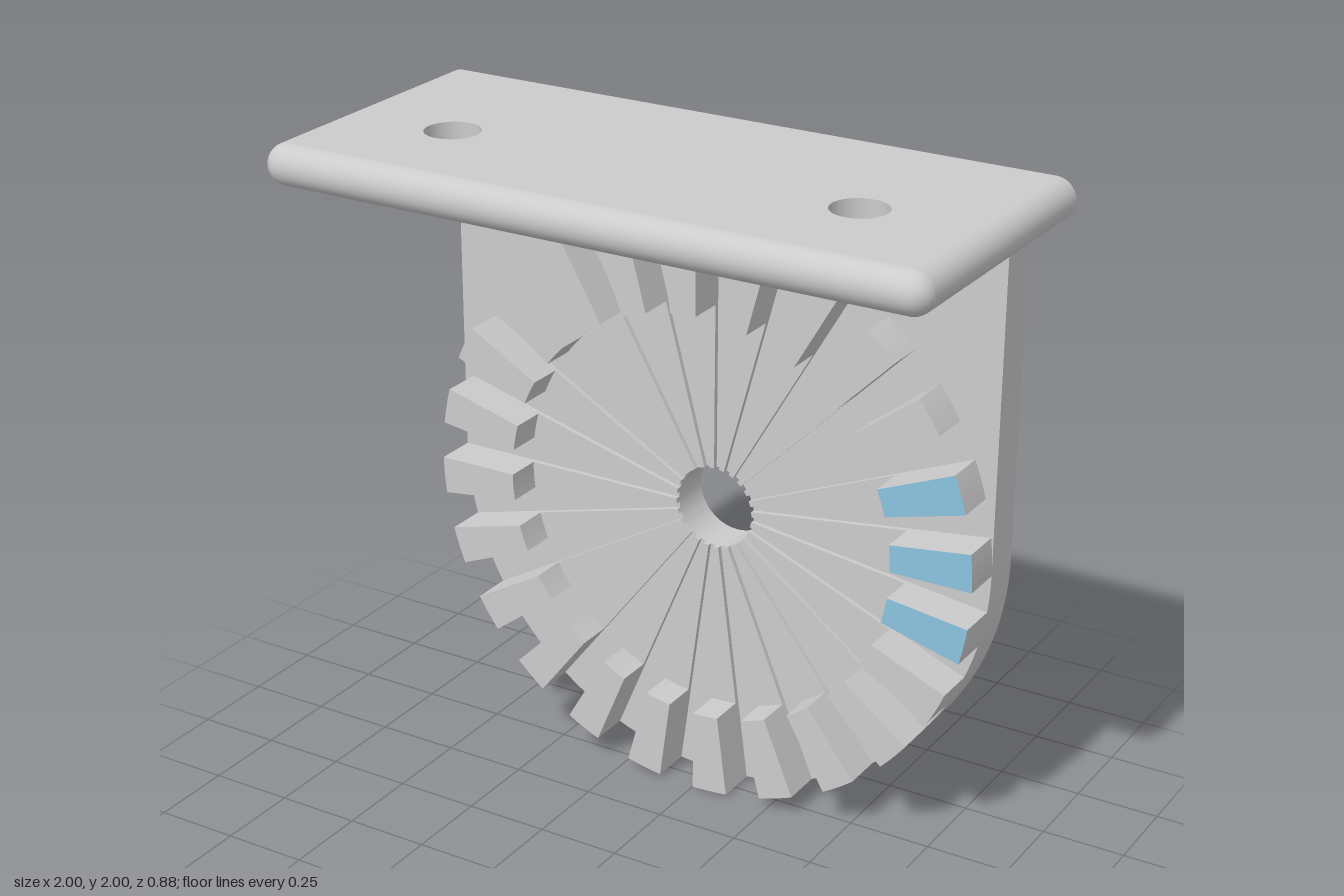
import * as THREE from 'three';
import { toCreasedNormals } from 'three/addons/utils/BufferGeometryUtils.js';

const R = 0.875;        // radius of the rounded plate and tooth ring; also the hub height
const BACK = -0.4375;   // rear plane
const FACE = -0.3125;   // front of the upright plate
const EDGE = 0.06;      // rounded rim of the shelf

const grey = new THREE.MeshStandardMaterial({ color: 0xcccccc });
const blue = new THREE.MeshStandardMaterial({ color: 0x8cc4e0 });

function extrude(shape, depth, curveSegments) {
  return new THREE.ExtrudeGeometry(shape, { depth, curveSegments, bevelEnabled: false });
}

function add(parent, name, geometry, material = grey) {
  const mesh = new THREE.Mesh(geometry, material);
  mesh.name = name;
  parent.add(mesh);
  return mesh;
}

function hole(x, y, r) {
  const path = new THREE.Path();
  path.absarc(x, y, r, 0, Math.PI * 2, true);
  return path;
}

// Ring sector between two radii and two angles, centred on the hub
function sector(r0, r1, a0, a1, depth) {
  const s = new THREE.Shape();
  s.absarc(0, 0, r1, a0, a1, false);
  s.absarc(0, 0, r0, a1, a0, true);
  s.closePath();
  return extrude(s, depth, 4);
}

// Upright plate: round bottom, straight sides, small fillets under the shelf
function uprightPlate() {
  const top = 2 - 2 * EDGE, f = 0.065;
  const s = new THREE.Shape();
  s.moveTo(-R, R);
  s.absarc(0, R, R, Math.PI, Math.PI * 2, false);
  s.lineTo(R, top - f);
  s.absarc(R + f, top - f, f, Math.PI, Math.PI / 2, true);
  s.lineTo(-R - f, top);
  s.absarc(-R - f, top - f, f, Math.PI / 2, 0, true);
  s.closePath();
  s.holes.push(hole(0, R, 0.125));
  return toCreasedNormals(extrude(s, FACE - BACK, 40), 0.5);
}

// Half-round rod along z, bulging towards +x
function halfRod(length) {
  return new THREE.CylinderGeometry(EDGE, EDGE, length, 20, 1, false, 0, Math.PI)
    .rotateX(Math.PI / 2);
}

function shelf() {
  const g = new THREE.Group();
  g.name = 'shelf';
  const x = 1 - EDGE, front = -BACK - EDGE, y = 2 - EDGE;

  // Flat slab with two screw holes, drawn in plan (shape y = -z)
  const s = new THREE.Shape();
  s.moveTo(-x, -front);
  s.lineTo(x, -front);
  s.lineTo(x, -BACK);
  s.lineTo(-x, -BACK);
  s.closePath();
  for (const side of [-1, 1]) s.holes.push(hole(side * 0.625, -0.06, 0.08));
  const slab = toCreasedNormals(extrude(s, 2 * EDGE, 24), 0.5);
  add(g, 'shelfSlab', slab.rotateX(-Math.PI / 2)).position.y = y - EDGE;

  // Rounded front, ends and corners
  add(g, 'frontRim', halfRod(2 * x).rotateY(-Math.PI / 2)).position.set(0, y, front);
  for (const side of [-1, 1]) {
    const end = halfRod(front - BACK);
    if (side < 0) end.rotateZ(Math.PI);
    add(g, 'endRim', end).position.set(side * x, y, (front + BACK) / 2);
    add(g, 'cornerRim', new THREE.SphereGeometry(EDGE, 24, 16)).position.set(side * x, y, front);
  }
  return g;
}

// Face gear: 24 teeth, each with a low rib running in to the hub hole
function toothRing() {
  const g = new THREE.Group();
  g.name = 'toothRing';
  g.position.set(0, R, FACE);
  const step = Math.PI / 12;
  for (let i = 0; i < 24; i++) {
    const a0 = i * step, a1 = a0 + step / 2;
    const marked = i === 0 || i === 1 || i === 23;
    add(g, 'tooth', sector(0.625, R, a0, a1, 0.125), marked ? [blue, grey] : grey);
    add(g, 'rib', sector(0.125, 0.625, a0, a1, 0.015));
  }
  return g;
}

export function createModel() {
  const model = new THREE.Group();
  model.name = 'toothedBracket';
  add(model, 'uprightPlate', uprightPlate()).position.z = BACK;
  model.add(shelf(), toothRing());
  return model;
}
